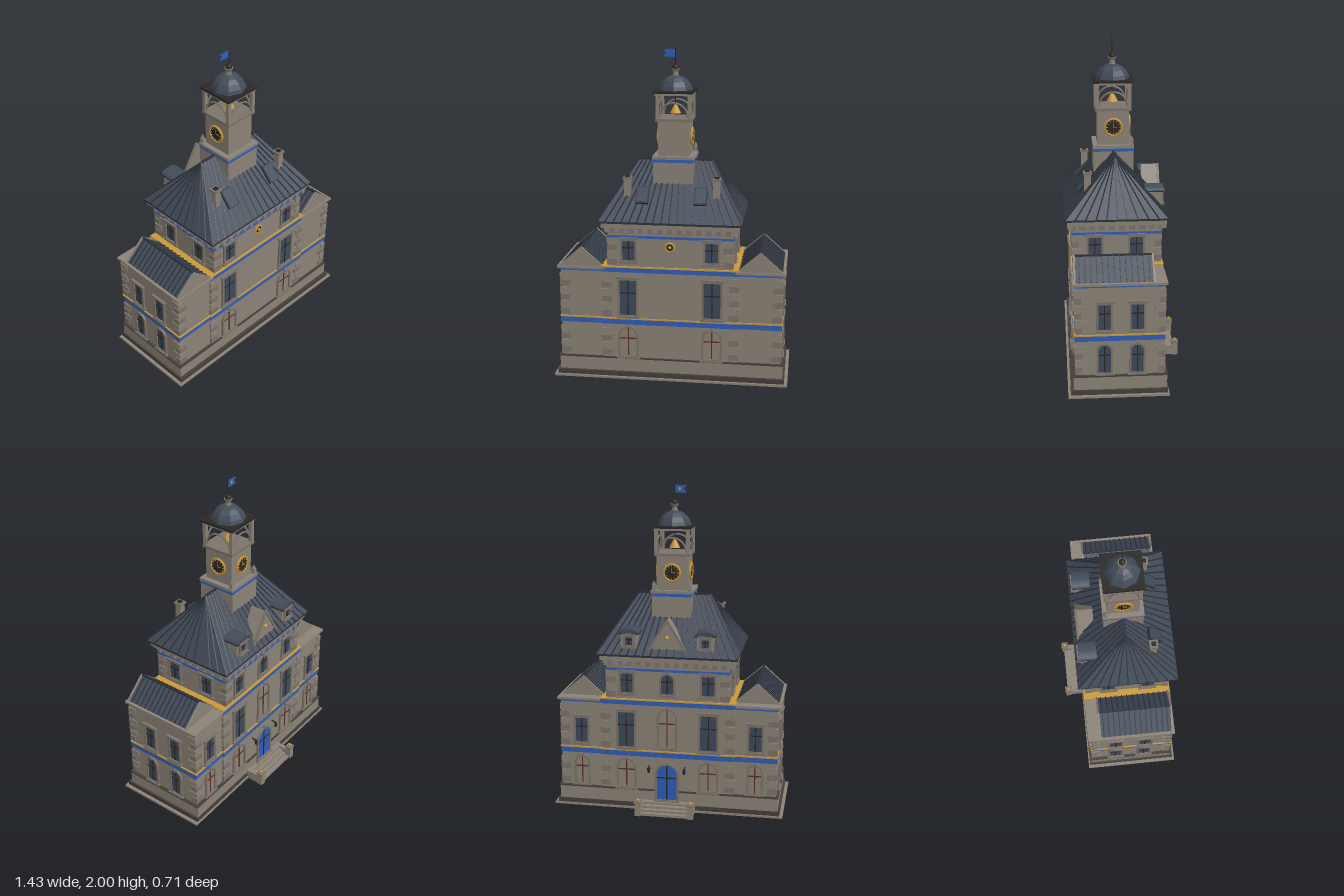
import * as THREE from 'three';

const mat = (name, color) => {
  const m = new THREE.MeshStandardMaterial({ color });
  m.name = name;
  return m;
};

export function createModel() {
  const stone = mat('stone', 0x8b8277), trim = mat('trim stone', 0x7c7369), dark = mat('dark stone', 0x453f3a);
  const slate = mat('slate', 0x424b59), seam = mat('seam metal', 0x2c313a), blue = mat('blue', 0x2f5dba);
  const gold = mat('gold', 0xc9983a), glass = mat('glass', 0x3d4959), red = mat('red brown', 0x5e2c22), iron = mat('iron', 0x2a2725);
  blue.side = THREE.DoubleSide;
  const root = new THREE.Group();
  const CZ = 0.043;

  const add = (name, geo, m, x = 0, y = 0, z = 0, parent = root) => {
    const o = new THREE.Mesh(geo, m);
    o.name = name;
    o.position.set(x, y, z);
    parent.add(o);
    return o;
  };
  const box = (name, m, w, h, d, x, y, z, parent) => add(name, new THREE.BoxGeometry(w, h, d), m, x, y, z, parent);
  // box given by its limits
  const block = (name, m, x0, x1, y0, y1, z0, z1) =>
    box(name, m, x1 - x0, y1 - y0, z1 - z0, (x0 + x1) / 2, (y0 + y1) / 2, (z0 + z1) / 2);
  // thin bar between two points
  const bar = (name, m, a, b, w) => {
    const o = box(name, m, w, w, a.distanceTo(b), 0, 0, 0);
    o.position.copy(a).lerp(b, 0.5);
    o.lookAt(b);
    return o;
  };
  const V = (x, y, z) => new THREE.Vector3(x, y, z);
  // puts a group on a wall; u is the world coordinate along the wall
  const place = (g, side, u, y, d) => {
    g.rotation.y = { front: 0, back: Math.PI, right: Math.PI / 2, left: -Math.PI / 2 }[side];
    if (side === 'front' || side === 'back') g.position.set(u, y, d);
    else g.position.set(d, y, u);
    root.add(g);
  };
  const outline = (T, w, h, arched, y0 = 0) => {
    const s = new T(), r = w / 2;
    s.moveTo(-r, y0);
    s.lineTo(r, y0);
    if (arched) s.absarc(0, h - r, r, 0, Math.PI, false);
    else s.lineTo(r, h).lineTo(-r, h);
    s.lineTo(-r, y0);
    return s;
  };
  // window or door: surround, pane, glazing bars and sill
  const opening = (name, side, u, y, d, w, h, arched, pane, bars) => {
    const g = new THREE.Group(), t = 0.012;
    g.name = name;
    const s = outline(THREE.Shape, w, h, arched);
    s.holes.push(outline(THREE.Path, w - 2 * t, h - t, arched, t));
    add('surround', new THREE.ExtrudeGeometry(s, { depth: 0.012, bevelEnabled: false, curveSegments: 8 }), trim, 0, 0, 0, g);
    add('pane', new THREE.ShapeGeometry(outline(THREE.Shape, w - 2 * t, h - t, arched, t), 8), pane, 0, 0, 0.003, g);
    box('mullion', bars, 0.007, h - 2.5 * t, 0.006, 0, h / 2, 0.004, g);
    box('transom', bars, w - 2 * t, 0.007, 0.006, 0, h * 0.62, 0.004, g);
    box('sill', trim, w + 0.016, 0.012, 0.02, 0, 0, 0.008, g);
    if (arched) box('keystone', trim, 0.014, 0.022, 0.018, 0, h, 0.008, g);
    else box('hood', trim, w + 0.016, 0.012, 0.02, 0, h + 0.004, 0.008, g);
    place(g, side, u, y, d);
  };

  // stepped base and plinth
  block('baseSlab', stone, -0.715, 0.715, 0, 0.012, -0.245, 0.345);
  block('baseStep', dark, -0.695, 0.695, 0.012, 0.04, -0.237, 0.33);
  block('plinth', stone, -0.683, 0.683, 0.04, 0.12, -0.232, 0.312);
  block('plinthBand', dark, -0.688, 0.688, 0.12, 0.129, -0.235, 0.315);

  // walls with their painted bands
  block('centreWall', stone, -0.41, 0.41, 0.1, 0.7, -0.225, 0.305);
  block('upperWall', stone, -0.375, 0.375, 0.69, 0.96, -0.218, 0.3);
  block('wingWalls', stone, -0.67, 0.67, 0.1, 0.69, -0.215, 0.298);
  const band = (m, y0, y1, e) => {
    block('wingBand', m, -0.67 - e, 0.67 + e, y0, y1, -0.215 - e, 0.298 + e);
    block('centreBand', m, -0.41 - e, 0.41 + e, y0, y1, -0.225 - e, 0.305 + e);
  };
  band(blue, 0.342, 0.374, 0.005);
  band(gold, 0.374, 0.382, 0.008);
  band(blue, 0.672, 0.69, 0.005);
  block('middleBand', blue, -0.416, 0.416, 0.685, 0.7, -0.231, 0.311);
  block('middleLedge', gold, -0.418, 0.418, 0.7, 0.708, -0.233, 0.313);
  block('upperBand', blue, -0.381, 0.381, 0.885, 0.9, -0.224, 0.306);

  // quoins at every corner
  const quoins = (x, zb, zf, y0, y1) => {
    for (const s of [-1, 1]) for (const [z, k] of [[zb, -1], [zf, 1]])
      for (let i = 0, y = y0; y < y1; i++, y += 0.045) {
        const a = i % 2 ? 0.04 : 0.06, b = i % 2 ? 0.06 : 0.04;
        box('quoin', i % 2 ? stone : trim, a, 0.036, b, s * (x - a / 2 + 0.006), y, z + k * (0.006 - b / 2));
      }
  };
  for (const [a, b] of [[0.16, 0.33], [0.41, 0.66]]) {
    quoins(0.67, -0.215, 0.298, a, b);
    quoins(0.41, -0.225, 0.305, a, b);
  }
  quoins(0.375, -0.218, 0.3, 0.735, 0.875);

  // windows, mirrored left and right
  for (const s of [-1, 1]) {
    const side = s > 0 ? 'right' : 'left';
    for (const [f, d, du] of [['front', 0.305, 0.3], ['back', -0.225, -0.218]]) {
      opening('groundWindow', f, s * 0.255, 0.13, d, 0.125, 0.2, true, stone, red);
      opening('mainWindow', f, s * 0.255, 0.39, d, 0.125, 0.245, false, glass, iron);
      opening('upperWindow', f, s * 0.25, 0.735, du, 0.1, 0.145, false, glass, iron);
    }
    opening('wingGroundWindow', 'back', s * 0.54, 0.13, -0.215, 0.1, 0.2, true, stone, red);
    opening('wingMainWindow', 'back', s * 0.54, 0.4, -0.215, 0.1, 0.18, false, glass, iron);
    for (const z of [0.132, -0.058]) {
      opening('sideGroundWindow', side, z, 0.13, s * 0.67, 0.095, 0.2, true, glass, iron);
      opening('sideMainWindow', side, z, 0.4, s * 0.67, 0.095, 0.18, false, glass, iron);
    }
    for (const z of [0.17, -0.075]) opening('upperSideWindow', side, z, 0.735, s * 0.375, 0.1, 0.145, false, glass, iron);
    // lanterns beside the door
    box('lanternArm', iron, 0.006, 0.006, 0.035, s * 0.11, 0.285, -0.24);
    add('lantern', new THREE.CylinderGeometry(0.011, 0.007, 0.03, 6), iron, s * 0.11, 0.265, -0.257);
  }
  opening('door', 'back', 0, 0.06, -0.236, 0.15, 0.25, true, blue, iron);
  opening('hallWindow', 'back', 0, 0.4, -0.225, 0.125, 0.26, true, stone, red);
  opening('upperArchedWindow', 'back', 0, 0.735, -0.218, 0.1, 0.145, true, glass, iron);

  // round medallion on the front
  add('medallion', new THREE.CylinderGeometry(0.024, 0.024, 0.012, 16).rotateX(Math.PI / 2), iron, 0, 0.835, 0.302);
  add('medallionRing', new THREE.TorusGeometry(0.026, 0.006, 6, 16), gold, 0, 0.835, 0.306);
  add('medallionBoss', new THREE.SphereGeometry(0.01, 8, 6), gold, 0, 0.835, 0.308);

  // entrance steps with piers
  for (let i = 0; i < 4; i++) block('entranceStep', stone, -0.145, 0.145, 0, 0.015 * (i + 1), -0.345 + i * 0.026, -0.22);
  for (const s of [-1, 1]) {
    box('stepCheek', stone, 0.03, 0.06, 0.11, s * 0.16, 0.03, -0.28);
    box('stepPier', stone, 0.036, 0.085, 0.036, s * 0.163, 0.0425, -0.338);
    box('pierCap', trim, 0.044, 0.01, 0.044, s * 0.163, 0.085, -0.338);
    add('pierBall', new THREE.SphereGeometry(0.01, 10, 8), gold, s * 0.163, 0.098, -0.338);
  }

  // wing cornices, gables and ribbed roofs
  const triangle = (w, h, depth) => new THREE.ExtrudeGeometry(
    new THREE.Shape([new THREE.Vector2(-w, 0), new THREE.Vector2(w, 0), new THREE.Vector2(0, h)]), { depth, bevelEnabled: false });
  for (const s of [-1, 1]) {
    box('wingCornice', stone, 0.295, 0.014, 0.545, s * 0.5425, 0.692, 0.042);
    add('wingRoof', triangle(0.132, 0.117, 0.44), slate, s * 0.54, 0.699, -0.148);
    for (const z of [-0.16, 0.293]) add('gable', triangle(0.142, 0.125, 0.012), stone, s * 0.54, 0.698, z);
    for (let i = 0; i < 13; i++) for (const k of [-1, 1]) {
      const z = -0.13 + i * 0.0335;
      bar('wingSeam', seam, V(s * 0.54 + k * 0.132, 0.701, z), V(s * 0.54, 0.818, z), 0.006);
    }
    bar('wingRidge', seam, V(s * 0.54, 0.818, -0.15), V(s * 0.54, 0.818, 0.295), 0.01);
  }

  // main cornice with brackets
  block('frieze', trim, -0.385, 0.385, 0.915, 0.95, -0.228, 0.31);
  block('cornice', stone, -0.412, 0.412, 0.95, 0.982, -0.25, 0.332);
  for (let i = 0; i < 14; i++) for (const z of [-0.234, 0.316])
    box('bracket', stone, 0.022, 0.03, 0.03, -0.377 + i * 0.058, 0.937, z);
  for (let i = 0; i < 9; i++) for (const s of [-1, 1])
    box('bracket', stone, 0.03, 0.03, 0.022, s * 0.39, 0.937, -0.19 + i * 0.058);

  // hipped main roof with fanned seams
  const EX = 0.428, ZB = -0.264, ZF = 0.347, EY = 0.992, RX = 0.222, RY = 1.322;
  block('eave', seam, -EX, EX, 0.98, EY, ZB, ZF);
  const a = [-EX, EY, ZF], b = [EX, EY, ZF], c = [EX, EY, ZB], d = [-EX, EY, ZB], l = [-RX, RY, CZ], r = [RX, RY, CZ];
  const hip = new THREE.BufferGeometry();
  hip.setAttribute('position', new THREE.Float32BufferAttribute([a, b, r, a, r, l, b, c, r, c, d, l, c, l, r, d, a, l].flat(), 3));
  hip.computeVertexNormals();
  add('mainRoof', hip, slate);
  for (const z of [ZB, ZF]) for (let i = 0; i <= 18; i++) {
    const t = i / 9 - 1;
    bar('roofSeam', seam, V(t * EX, EY, z), V(t * RX, RY, CZ), 0.007);
  }
  for (const s of [-1, 1]) for (let i = 1; i < 10; i++)
    bar('hipSeam', seam, V(s * EX, EY, ZB + (ZF - ZB) * i / 10), V(s * RX, RY, CZ), 0.006);
  bar('ridge', seam, V(-RX, RY, CZ), V(RX, RY, CZ), 0.012);

  for (const s of [-1, 1]) {
    // chimneys
    box('chimney', stone, 0.04, 0.17, 0.04, s * 0.268, 1.145, 0.207);
    box('chimneyCap', trim, 0.052, 0.014, 0.052, s * 0.268, 1.233, 0.207);
    box('chimneyPot', iron, 0.026, 0.01, 0.026, s * 0.268, 1.242, 0.207);
    // skylights on the front slope
    const sky = new THREE.Group();
    sky.name = 'skylight';
    sky.position.set(s * 0.175, 1.132, 0.225);
    sky.rotation.x = Math.atan2(ZF - CZ, RY - EY) - Math.PI / 2 + Math.PI / 2 - 2 * Math.atan2(ZF - CZ, RY - EY);
    box('skylightFrame', seam, 0.078, 0.118, 0.018, 0, 0, 0, sky);
    box('skylightPane', glass, 0.064, 0.104, 0.006, 0, 0, 0.009, sky);
    root.add(sky);
    // dormers on the back slope
    block('dormer', stone, s * 0.232 - 0.05, s * 0.232 + 0.05, 1.02, 1.12, -0.232, -0.13);
    const top = add('dormerRoof', new THREE.CylinderGeometry(0.062, 0.062, 0.11, 12, 1, false, 0, Math.PI).rotateZ(Math.PI / 2).rotateY(Math.PI / 2), slate, s * 0.232, 1.118, -0.187);
    top.scale.y = 0.45;
    box('dormerEave', seam, 0.124, 0.008, 0.112, s * 0.232, 1.118, -0.187);
    opening('dormerWindow', 'back', s * 0.232, 1.035, -0.232, 0.07, 0.075, false, glass, iron);
  }

  // stone gable over the entrance
  add('entranceGable', triangle(0.115, 0.19, 0.1), stone, 0, 1.017, -0.232);
  for (const s of [-1, 1]) bar('gableCoping', trim, V(s * 0.115, 1.017, -0.234), V(0, 1.207, -0.234), 0.014);
  add('gableBoss', new THREE.SphereGeometry(0.013, 10, 8), gold, 0, 1.1, -0.233);

  // clock tower
  box('towerBase', stone, 0.24, 0.22, 0.24, 0, 1.22, CZ);
  box('towerBand', blue, 0.246, 0.018, 0.246, 0, 1.33, CZ);
  box('towerLedge', stone, 0.254, 0.018, 0.246, 0, 1.348, CZ);
  box('towerShaft', stone, 0.19, 0.22, 0.19, 0, 1.46, CZ);
  box('belfryFloor', trim, 0.218, 0.016, 0.218, 0, 1.572, CZ);
  for (const s of [-1, 1]) {
    box('pinnacle', stone, 0.022, 0.035, 0.022, s * 0.11, 1.374, CZ - 0.107);
    add('pinnacleTip', new THREE.ConeGeometry(0.014, 0.026, 6), trim, s * 0.11, 1.404, CZ - 0.107);
  }
  for (const [side, u, dist] of [['right', CZ, 0.095], ['left', CZ, -0.095], ['back', 0, CZ - 0.095]]) {
    const g = new THREE.Group();
    g.name = 'clock';
    add('dial', new THREE.CylinderGeometry(0.05, 0.05, 0.012, 24).rotateX(Math.PI / 2), iron, 0, 0, 0.003, g);
    add('dialRing', new THREE.TorusGeometry(0.05, 0.007, 6, 24), gold, 0, 0, 0.007, g);
    for (let i = 0; i < 12; i++) {
      const t = i * Math.PI / 6;
      box('hourMark', gold, 0.004, 0.01, 0.004, Math.sin(t) * 0.038, Math.cos(t) * 0.038, 0.009, g).rotation.z = -t;
    }
    box('minuteHand', gold, 0.004, 0.032, 0.003, 0, 0.014, 0.01, g);
    box('hourHand', gold, 0.022, 0.004, 0.003, 0.01, 0, 0.01, g);
    place(g, side, u, 1.465, dist);
  }

  // open belfry with arches and bell
  for (const s of [-1, 1]) {
    for (const k of [-1, 1]) box('belfryPost', stone, 0.022, 0.145, 0.022, s * 0.096, 1.65, CZ + k * 0.096);
    add('belfryArch', new THREE.TorusGeometry(0.085, 0.006, 6, 16, Math.PI), trim, 0, 1.59, CZ + s * 0.096);
    add('belfryArch', new THREE.TorusGeometry(0.085, 0.006, 6, 16, Math.PI).rotateY(Math.PI / 2), trim, s * 0.096, 1.59, CZ);
  }
  add('bell', new THREE.CylinderGeometry(0.006, 0.034, 0.055, 12), gold, 0, 1.632, CZ);
  box('bellHanger', iron, 0.006, 0.07, 0.006, 0, 1.692, CZ);
  box('belfryBeam', stone, 0.22, 0.014, 0.22, 0, 1.725, CZ);
  box('belfryCornice', iron, 0.236, 0.014, 0.236, 0, 1.738, CZ);

  // eight-sided dome, finial and flag
  const dome = [[0.104, 0], [0.097, 0.022], [0.08, 0.05], [0.055, 0.072], [0.028, 0.084], [0, 0.088]];
  const domeGeo = new THREE.LatheGeometry(dome.map(p => new THREE.Vector2(...p)), 8).toNonIndexed();
  domeGeo.computeVertexNormals();
  add('dome', domeGeo, slate, 0, 1.745, CZ);
  add('finialNeck', new THREE.CylinderGeometry(0.014, 0.02, 0.02, 10), trim, 0, 1.84, CZ);
  add('finialCup', new THREE.CylinderGeometry(0.026, 0.02, 0.018, 10), trim, 0, 1.862, CZ);
  add('finialBall', new THREE.SphereGeometry(0.019, 12, 8), iron, 0, 1.876, CZ);
  add('flagPole', new THREE.CylinderGeometry(0.003, 0.003, 0.12, 6), iron, 0, 1.94, CZ);
  const flag = new THREE.Shape([[0, 0], [0, 0.048], [-0.075, 0.044], [-0.055, 0.024], [-0.075, 0.002]].map(p => new THREE.Vector2(...p)));
  add('flag', new THREE.ShapeGeometry(flag), blue, 0, 1.937, CZ);
  add('flagDisc', new THREE.CircleGeometry(0.009, 12).rotateY(Math.PI), gold, -0.03, 1.961, CZ - 0.002);
  return root;
}
